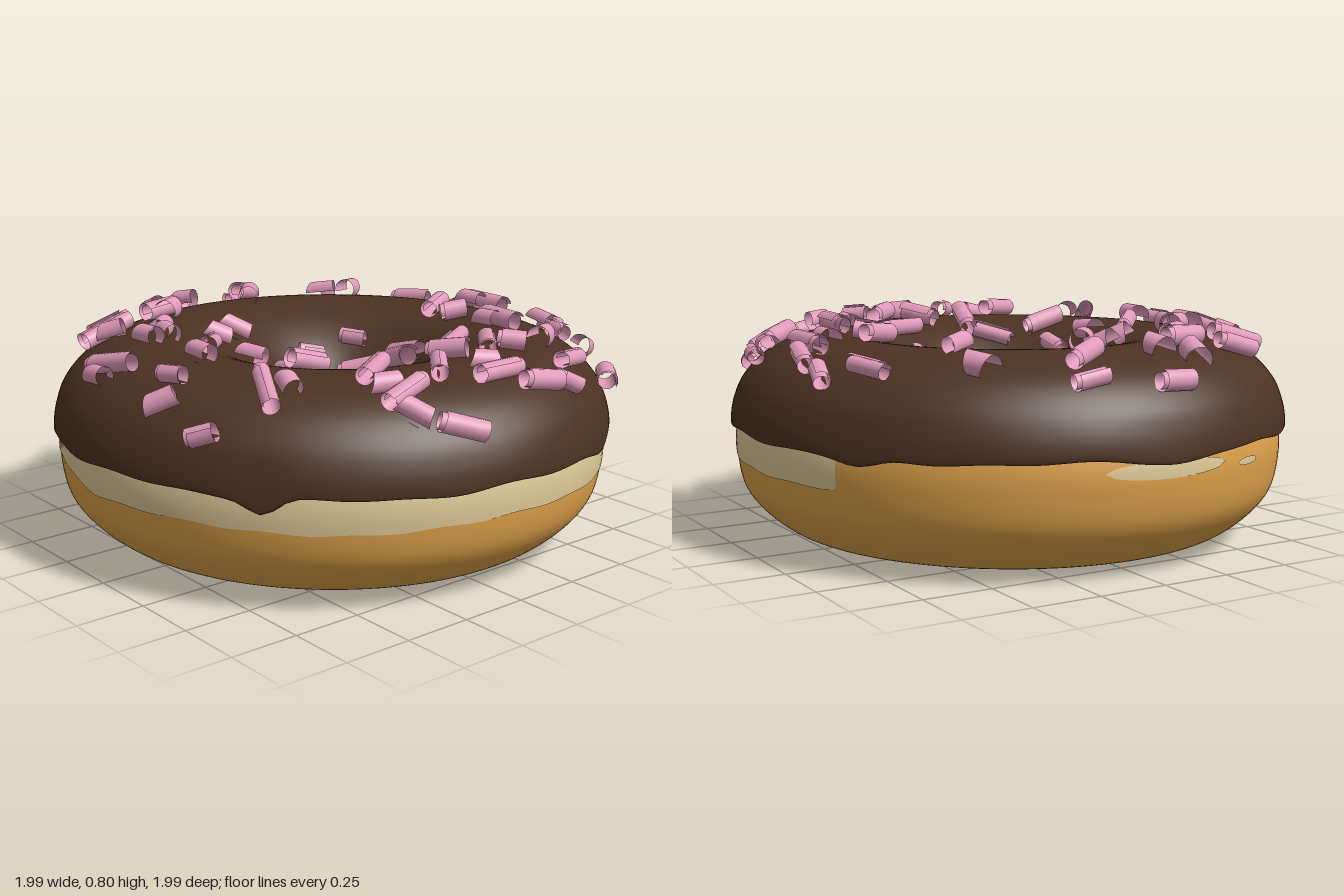
import * as THREE from 'three';
import { mergeVertices } from 'three/addons/utils/BufferGeometryUtils.js';

const RAD = Math.PI / 180;
const mat = (name, color, side = THREE.FrontSide) => {
  const m = new THREE.MeshStandardMaterial({ color, side });
  m.name = name;
  return m;
};
const spline = (pts, n) =>
  new THREE.SplineCurve(pts.map(([r, y]) => new THREE.Vector2(r, y))).getPoints(n);
const clamp = THREE.MathUtils.clamp;

// Cross-sections (radius, height), running from the outside over the top to the hole
const doughProfile = spline([[.6, .003], [.70, .010], [.80, .042], [.89, .11], [.95, .19], [.973, .29],
  [.973, .40], [.93, .52], [.8, .65], [.6, .69], [.4, .62], [.27, .5], [.24, .4], [.265, .28],
  [.32, .17], [.41, .07], [.50, .015], [.6, .003]], 90);
const icingProfile = spline([[.955, .425], [.985, .415], [.996, .43], [.985, .50], [.95, .58], [.88, .655],
  [.78, .708], [.68, .73], [.60, .734], [.50, .72], [.40, .68], [.30, .61], [.23, .53], [.2, .45],
  [.208, .37], [.236, .305], [.275, .295]], 80);

// The hole sits slightly off centre, and the outside is slightly oval along one diagonal
const holeShift = (r) => clamp((.6 - r) / .4, 0, 1);
const oval = (x, z) => {
  const r = Math.hypot(x, z);
  return 1 - (1 - holeShift(r)) * .052 * x * z / (r * r);
};

// Wavy lower edge of the icing: small ripples and a few drips
const DRIPS = [[38, .05, 4], [120, .025, 6], [210, .035, 6], [325, .02, 7], [275, .02, 8]];
function edgeWave(phi) {
  let y = .005 * Math.sin(9 * phi) + .004 * Math.sin(17 * phi + 1);
  for (const [deg, depth, width] of DRIPS) {
    const d = Math.atan2(Math.sin(phi - deg * RAD), Math.cos(phi - deg * RAD)) / RAD;
    y -= depth * Math.exp(-((d / width) ** 2));
  }
  return y;
}

// Spin a profile, then move each vertex by a rule and smooth the seam
function ring(profile, wave) {
  const geo = new THREE.LatheGeometry(profile, 144);
  const p = geo.attributes.position;
  for (let i = 0; i < p.count; i++) {
    const x = p.getX(i), y = p.getY(i), z = p.getZ(i);
    const r = Math.hypot(x, z), w = holeShift(r), k = oval(x, z);
    const drop = wave && r > .6 ? wave(Math.atan2(x, z)) * clamp((.55 - y) / .12, 0, 1) : 0;
    p.setXYZ(i, x * k + .02 * w, y + drop, z * k - .03 * w);
  }
  geo.deleteAttribute('uv');
  geo.deleteAttribute('normal');
  const merged = mergeVertices(geo, 1e-4);
  merged.computeVertexNormals();
  return merged;
}

// Outer dough radius at a given height
function doughRadius(y) {
  for (let i = 1; i < doughProfile.length; i++) {
    const a = doughProfile[i - 1], b = doughProfile[i];
    if (b.y >= y && b.x > .6) return THREE.MathUtils.lerp(a.x, b.x, clamp((y - a.y) / (b.y - a.y), 0, 1));
  }
  return .97;
}

// Thin pale strip hugging the dough between two heights
function paleStrip(from, to, low, high) {
  const rows = Array.from({ length: 7 }, (_, i) => new THREE.Vector2(1, i / 6));
  const geo = new THREE.LatheGeometry(rows, Math.max(12, Math.round((to - from) / 2)), from * RAD, (to - from) * RAD);
  const p = geo.attributes.position;
  for (let i = 0; i < p.count; i++) {
    const t = geo.attributes.uv.getX(i), deg = from + (to - from) * t;
    const y = THREE.MathUtils.lerp(low(deg, t), high(deg, t), p.getY(i));
    const s = Math.sin(deg * RAD), c = Math.cos(deg * RAD);
    const r = (doughRadius(y) + .003) * oval(s, c);
    p.setXYZ(i, s * r, y, c * r);
  }
  geo.computeVertexNormals();
  return geo;
}

// Height and slope of the icing at a given radius
function icingAt(r) {
  const q = clamp(r, .225, .985);
  for (let i = 10; i < icingProfile.length; i++) {
    const a = icingProfile[i - 1], b = icingProfile[i];
    if (b.x <= q && a.x >= q) {
      const t = (a.x - q) / (a.x - b.x || 1);
      return { y: a.y + (b.y - a.y) * t, slope: (b.y - a.y) / (b.x - a.x) };
    }
  }
  return { y: .6, slope: 0 };
}

// A rolled shaving: a sheet wound into a spiral along x, optionally narrowing to a point
function shaving(length, turns, taper, radius) {
  const geo = new THREE.PlaneGeometry(1, 1, 4, 22);
  const p = geo.attributes.position;
  for (let i = 0; i < p.count; i++) {
    const u = p.getY(i) + .5, a = u * turns * Math.PI * 2 - .4;
    const r = radius * (.75 + .3 * u);
    const skew = .12 * length * (u - .5);
    p.setXYZ(i, p.getX(i) * length * (1 - taper * u) + skew, Math.sin(a) * r, Math.cos(a) * r);
  }
  geo.computeVertexNormals();
  return geo;
}

// Long rolls: x, z, length, heading in degrees
const ROLLS = [[-.40, -.76, .16, -15], [-.10, -.86, .16, 20], [0, -.79, .2, 0], [.29, -.88, .17, 15],
  [.43, -.73, .17, 55], [.71, -.71, .13, 40], [.74, -.48, .16, 75], [-.02, -.54, .14, 65],
  [.32, -.55, .18, 5], [.37, -.26, .23, 62], [.57, -.24, .19, 42], [.09, -.29, .17, -15],
  [-.87, -.21, .12, 85], [-.76, -.16, .15, 60], [-.93, .08, .13, 90], [-.66, .54, .16, 95],
  [-.55, .62, .21, 92], [-.63, .33, .16, 80], [-.09, .47, .16, 45], [.10, .27, .12, 10],
  [.28, .33, .15, 90], [.46, .64, .21, 30], [-.17, .83, .21, -18], [.45, .07, .17, 15],
  [.33, .13, .15, -35], [.18, .05, .16, 50], [.53, -.09, .14, -30], [.68, .09, .14, 40],
  [.79, -.08, .19, 88], [.86, -.21, .16, -80], [.58, .29, .18, 60], [.75, .30, .18, 75],
  [.92, .21, .16, -45]];

// Short rolls: x, z, heading in degrees
const SHORT_ROLLS = [[-.26, -.87, 30], [.09, -.53, -60], [-.17, -.25, -30], [-.22, -.08, -55],
  [.13, .78, -20], [.41, .86, -60], [.86, -.34, -60], [.59, -.34, -45]];

// Tapered flakes: x, z, heading in degrees
const FLAKES = [[.56, -.74, 80], [-.65, -.49, -30], [-.47, -.47, 60], [.57, -.51, 70], [.15, -.20, 40],
  [-.61, -.07, 40], [-.74, .14, -20], [-.79, .26, 0], [-.34, .18, -45], [-.26, .32, -60], [.06, .39, -20],
  [-.34, .52, 50], [-.26, .54, 10], [-.26, .62, 0], [.06, .61, 5], [-.48, .63, -40], [-.16, .89, 0],
  [.21, .87, -60], [.50, .58, 20], [.69, .33, -70], [.83, .32, -20], [.72, -.08, -60],
  [-.01, -.73, 0], [.28, -.83, 10], [.31, -.50, 0], [-.59, .32, 60]];

export function createModel() {
  const model = new THREE.Group();
  const dough = mat('golden dough', 0xdea14a);
  const pale = mat('pale dough', 0xdfca98, THREE.DoubleSide);
  const chocolate = mat('chocolate icing', 0x4c3222);
  const pink = mat('pink shavings', 0xe09ab9, THREE.DoubleSide);
  const add = (name, geo, material, parent = model) => {
    const mesh = new THREE.Mesh(geo, material);
    mesh.name = name;
    parent.add(mesh);
    return mesh;
  };

  add('doughRing', ring(doughProfile), dough);
  add('icing', ring(icingProfile, edgeWave), chocolate);

  // Pale proofing line round most of the side, with a few stray patches
  add('paleBand', paleStrip(-24, 204,
    (d) => .302 + .06 * clamp((-4 - d) / 20, 0, 1) + .006 * Math.sin(d * .09) + .003 * Math.sin(d * .37),
    (d) => .365 + .085 * clamp((d + 24) / 8, 0, 1)), pale);
  for (const [from, to, y, h] of [[-35, -20, .362, .014], [-70, -63, .36, .013], [-102, -74, .377, .03]]) {
    const bulge = (t) => h * Math.sqrt(Math.max(0, 1 - (2 * t - 1) ** 2));
    add('palePatch', paleStrip(from, to, (d, t) => y - bulge(t), (d, t) => y + bulge(t)), pale);
  }

  // Shavings rest on the icing, raised along its surface normal
  const shavings = new THREE.Group();
  shavings.name = 'shavings';
  model.add(shavings);
  const place = (name, geo, x, z, deg, lift = .03) => {
    const w = holeShift(Math.hypot(x, z)), k = oval(x, z);
    const dx = (x - .02 * w) / k, dz = (z + .03 * w) / k, r = Math.hypot(dx, dz);
    const first = icingAt(r).slope;
    const { y, slope } = icingAt(r + lift * first / Math.hypot(1, first));
    const up = new THREE.Vector3(-slope * dx / r, 1, -slope * dz / r).normalize();
    const along = new THREE.Vector3(Math.cos(deg * RAD), 0, Math.sin(deg * RAD));
    along.addScaledVector(up, -along.dot(up)).normalize();
    const mesh = add(name, geo, pink, shavings);
    mesh.quaternion.setFromRotationMatrix(
      new THREE.Matrix4().makeBasis(along, up, new THREE.Vector3().crossVectors(along, up)));
    mesh.position.set(x, y + lift * up.y, z);
  };
  ROLLS.forEach(([x, z, len, deg], i) =>
    place('roll', shaving(len, 1.3 + .1 * (i % 3), .06, .033 + .002 * (i % 3)), x, z, deg));
  SHORT_ROLLS.forEach(([x, z, deg], i) =>
    place('shortRoll', shaving(.1, 1.3, .15, .034 + .003 * (i % 2)), x, z, deg));
  FLAKES.forEach(([x, z, deg], i) =>
    place('flake', shaving(.115 + .01 * (i % 3), .75 + .1 * (i % 3), .75, .042 + .003 * (i % 2)), x, z, deg));

  return model;
}
